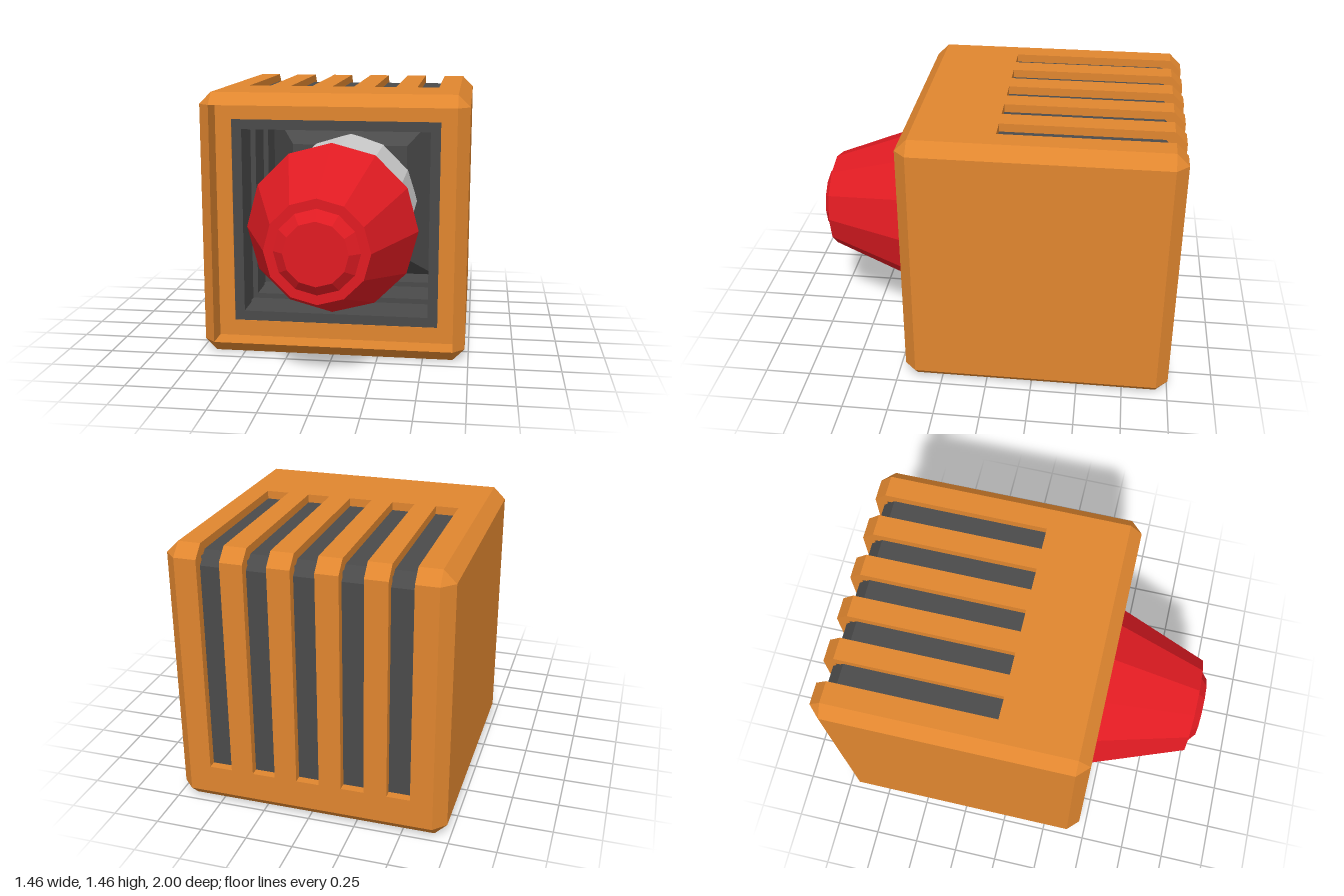
import * as THREE from 'three';
import { ConvexGeometry } from 'three/addons/geometries/ConvexGeometry.js';

const mat = (color) => new THREE.MeshStandardMaterial({ color, flatShading: true, side: THREE.DoubleSide });
const orange = mat(0xe0862f), dark = mat(0x4a4a4a), red = mat(0xe01b22), grey = mat(0xcccccc);
const MID = 0.73; // height of the central axis

export function createModel() {
  const model = new THREE.Group();

  const add = (name, geometry, material, parent = model) => {
    const mesh = new THREE.Mesh(geometry, material);
    mesh.name = name;
    parent.add(mesh);
    return mesh;
  };

  // Side profile given as [z, y] points, extruded from x0 to x1
  const slab = (points, x0, x1) => {
    const shape = new THREE.Shape(points.map(([z, y]) => new THREE.Vector2(-z, y)));
    return new THREE.ExtrudeGeometry(shape, { depth: x1 - x0, bevelEnabled: false })
      .rotateY(Math.PI / 2).translate(x0, 0, 0);
  };

  // Profile of [radius, z] points turned about the central axis
  const turned = (points, sides, start = 0) =>
    new THREE.LatheGeometry(points.map(([r, z]) => new THREE.Vector2(r, z)), sides, start)
      .rotateX(Math.PI / 2).translate(0, MID, 0);

  // Housing: chamfered side panels
  const housing = new THREE.Group();
  housing.name = 'housing';
  model.add(housing);
  const octagon = [[0.46, 0.065], [0.395, 0], [-0.935, 0], [-1, 0.065],
    [-1, 1.395], [-0.935, 1.46], [0.395, 1.46], [0.46, 1.395]];
  const square = [[0.395, 0.065], [-0.935, 0.065], [-0.935, 1.395], [0.395, 1.395]];
  for (const s of [-1, 1]) {
    const corners = [
      ...octagon.map(([z, y]) => new THREE.Vector3(s * 0.665, y, z)),
      ...square.map(([z, y]) => new THREE.Vector3(s * 0.73, y, z)),
    ];
    add(s > 0 ? 'leftPanel' : 'rightPanel', new ConvexGeometry(corners), orange, housing);
  }

  // Housing: top, back and bottom as full ribs alternating with slotted strips
  const ribProfile = [...octagon, [-0.935, 1.395], [-0.935, 0.065]];
  const aboveSlot = [[0.46, 1.395], [0.395, 1.46], [-0.04, 1.46], [-0.04, 1.395]];
  const belowSlot = [[0.46, 0.065], [0.395, 0], [-0.935, 0], [-1, 0.065],
    [-1, 0.22], [-0.935, 0.22], [-0.935, 0.065]];
  let x = -0.665;
  for (let i = -2; i <= 2; i++) {
    const x0 = i * 0.2425 - 0.0615, x1 = i * 0.2425 + 0.0615;
    add('rib', slab(ribProfile, x, x0), orange, housing);
    add('slotTopStrip', slab(aboveSlot, x0, x1), orange, housing);
    add('slotBottomStrip', slab(belowSlot, x0, x1), orange, housing);
    x = x1;
  }
  add('rib', slab(ribProfile, x, 0.665), orange, housing);

  // Recessed front frame
  const rect = (path, h) => path.moveTo(-h, -h).lineTo(h, -h).lineTo(h, h).lineTo(-h, h).closePath();
  const frame = rect(new THREE.Shape(), 0.665);
  frame.holes.push(rect(new THREE.Path(), 0.575));
  add('frontFrame', new THREE.ExtrudeGeometry(frame, { depth: 0.03, bevelEnabled: false })
    .translate(0, MID, 0.29), orange, housing);

  // Dark liner seen through the slots
  add('liner', slab([
    [0.28, 0.045], [-0.89, 0.045], [-0.955, 0.11], [-0.955, 1.35], [-0.89, 1.415], [0.28, 1.415],
    [0.28, 1.345], [-0.86, 1.345], [-0.885, 1.32], [-0.885, 0.14], [-0.86, 0.115], [0.28, 0.115],
  ], -0.66, 0.66), dark);

  // Square grooved well with a tapered mount at its back
  const well = [[0.58, 0.315], [0.52, 0.315]];
  for (let z = 0.14; z > -0.5; z -= 0.36) well.push([0.52, z], [0.55, z], [0.55, z - 0.18], [0.52, z - 0.18]);
  well.push([0.52, -0.6], [0.35, -0.33], [0, -0.33]);
  add('well', turned(well.map(([h, z]) => [h * Math.SQRT2, z]), 4, Math.PI / 4), dark);

  // Central shaft and nose cone
  add('shaft', turned([[0, -0.4], [0.41, -0.4], [0.41, 0.44]], 12), grey);
  add('noseCone', turned([[0, 0.43], [0.47, 0.43], [0.27, 0.955], [0.22, 0.955], [0.165, 1], [0, 1]], 12), red);

  return model;
}
